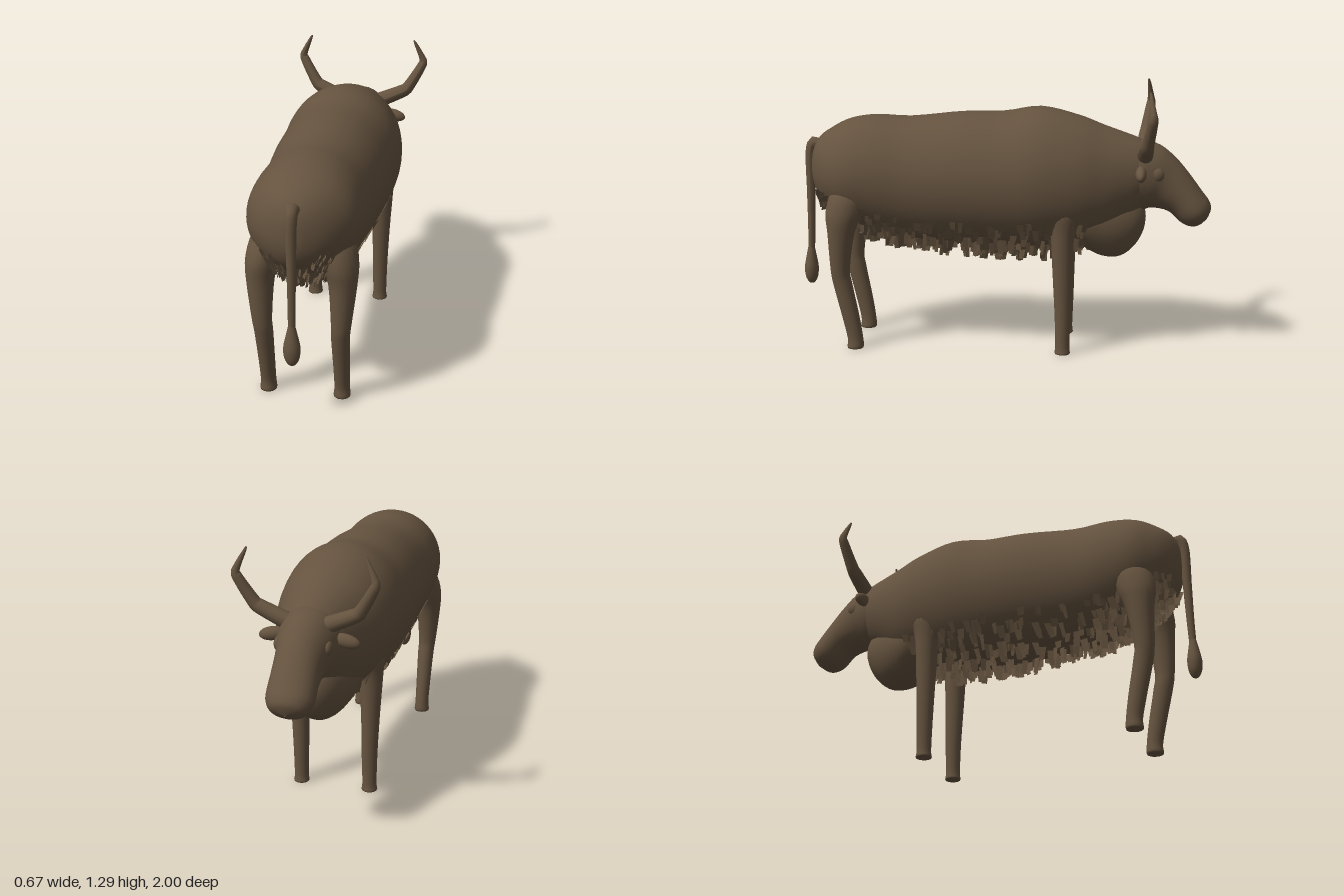
import * as THREE from 'three';

const hide = new THREE.MeshStandardMaterial({ color: 0x65533f, side: THREE.DoubleSide });
hide.name = 'brown hide';

// Cross-sections: [x, y, z, half width, half height, tilt in degrees]
const bodySections = [
  [0, 0.90, -0.74, 0.005, 0.005, 0], [0, 0.89, -0.72, 0.10, 0.10, 0],
  [0, 0.86, -0.66, 0.145, 0.17, 0], [0, 0.845, -0.58, 0.18, 0.215, 0],
  [0, 0.83, -0.48, 0.22, 0.265, 0], [0, 0.835, -0.36, 0.262, 0.305, 0],
  [0, 0.84, -0.18, 0.29, 0.34, 0], [0, 0.828, 0, 0.287, 0.327, 0],
  [0, 0.83, 0.2, 0.28, 0.32, 0], [0, 0.825, 0.45, 0.262, 0.30, 0],
  [0, 0.845, 0.62, 0.262, 0.285, 0], [0, 0.86, 0.75, 0.247, 0.25, 0],
  [0, 0.865, 0.84, 0.192, 0.20, 0], [0, 0.87, 0.90, 0.125, 0.15, 0],
  [0, 0.87, 0.935, 0.05, 0.08, 0], [0, 0.87, 0.94, 0.003, 0.003, 0],
];
const headSections = [
  [0, 0.645, -0.983, 0.003, 0.003, -37], [0, 0.655, -0.968, 0.07, 0.055, -37],
  [0, 0.675, -0.94, 0.10, 0.08, -37], [0, 0.705, -0.905, 0.11, 0.09, -37],
  [0, 0.765, -0.85, 0.108, 0.10, -35], [0, 0.82, -0.77, 0.115, 0.135, -25],
  [0, 0.85, -0.70, 0.138, 0.165, -10], [0, 0.87, -0.62, 0.14, 0.15, 0],
  [0, 0.88, -0.55, 0.01, 0.01, 0],
];
const dewlapSections = [
  [0, 0.65, -0.69, 0.003, 0.003, 0], [0, 0.645, -0.68, 0.055, 0.06, 0],
  [0, 0.635, -0.64, 0.10, 0.125, 0], [0, 0.625, -0.57, 0.135, 0.17, 0],
  [0, 0.63, -0.48, 0.16, 0.175, 0], [0, 0.655, -0.39, 0.175, 0.155, 0],
  [0, 0.68, -0.29, 0.16, 0.11, 0], [0, 0.70, -0.22, 0.01, 0.01, 0],
];
const hindLegSections = [
  [0.11, 0.88, 0.70, 0.03, 0.05, 90], [0.142, 0.78, 0.725, 0.085, 0.095, 90],
  [0.173, 0.68, 0.753, 0.079, 0.092, 90], [0.185, 0.58, 0.77, 0.063, 0.066, 90],
  [0.18, 0.40, 0.78, 0.046, 0.047, 90], [0.175, 0.32, 0.77, 0.042, 0.046, 90],
  [0.173, 0.16, 0.736, 0.037, 0.042, 90], [0.172, 0.05, 0.716, 0.035, 0.038, 90],
  [0.172, 0, 0.716, 0.037, 0.038, 90], [0.172, 0, 0.716, 0.001, 0.001, 90],
];
const foreLegSections = [
  [0.14, 0.88, -0.30, 0.05, 0.06, 90], [0.165, 0.72, -0.298, 0.075, 0.085, 90],
  [0.176, 0.60, -0.296, 0.058, 0.058, 90], [0.175, 0.40, -0.297, 0.045, 0.047, 90],
  [0.172, 0.20, -0.30, 0.038, 0.039, 90], [0.172, 0.04, -0.30, 0.034, 0.034, 90],
  [0.172, 0, -0.30, 0.036, 0.036, 90], [0.172, 0, -0.30, 0.001, 0.001, 90],
];

// Smoothly interpolated section at t in 0..1
function sectionAt(sections, t) {
  const n = sections.length - 1;
  const i = Math.min(Math.floor(t * n), n - 1), f = t * n - i;
  const p = k => sections[Math.max(0, Math.min(n, k))];
  return p(i).map((b, k) => {
    const a = p(i - 1)[k], c = p(i + 1)[k], d = p(i + 2)[k];
    return b + 0.5 * f * (c - a + f * (2 * a - 5 * b + 4 * c - d + f * (3 * (b - c) + d - a)));
  });
}

function ringPoint([x, y, z, rx, ru, tilt], angle) {
  const t = THREE.MathUtils.degToRad(tilt), u = Math.max(ru, 0.001) * Math.sin(angle);
  return new THREE.Vector3(
    x + Math.max(rx, 0.001) * Math.cos(angle),
    Math.max(0, y + u * Math.cos(t)),
    z + u * Math.sin(t));
}

function loft(sections, sides = 32, steps = 4) {
  const rows = (sections.length - 1) * steps, pos = [], index = [];
  for (let i = 0; i <= rows; i++) {
    const s = sectionAt(sections, i / rows);
    for (let j = 0; j < sides; j++) pos.push(...ringPoint(s, j / sides * Math.PI * 2).toArray());
  }
  for (let i = 0; i < rows; i++) for (let j = 0; j < sides; j++) {
    const k = (j + 1) % sides;
    const a = i * sides + j, b = i * sides + k, c = a + sides, d = b + sides;
    index.push(a, b, c, b, d, c);
  }
  return indexed(pos, index);
}

function indexed(pos, index) {
  const g = new THREE.BufferGeometry();
  g.setAttribute('position', new THREE.Float32BufferAttribute(pos, 3));
  g.setIndex(index);
  g.computeVertexNormals();
  return g;
}

// Tube whose radius follows a list of values spaced evenly along its points
function taperedTube(points, radii, sides = 14, tension = 0.5) {
  const curve = new THREE.CatmullRomCurve3(points.map(p => new THREE.Vector3(...p)), false, 'catmullrom', tension);
  const rows = 40, g = new THREE.TubeGeometry(curve, rows, 1, sides);
  const p = g.attributes.position, v = new THREE.Vector3();
  for (let i = 0; i <= rows; i++) {
    const c = curve.getPointAt(i / rows), f = curve.getUtoTmapping(i / rows) * (radii.length - 1);
    const k = Math.min(Math.floor(f), radii.length - 2);
    const r = THREE.MathUtils.lerp(radii[k], radii[k + 1], f - k);
    for (let j = 0; j <= sides; j++) {
      const n = i * (sides + 1) + j;
      v.fromBufferAttribute(p, n).sub(c).multiplyScalar(r).add(c);
      p.setXYZ(n, v.x, v.y, v.z);
    }
  }
  g.computeVertexNormals();
  return g;
}

// Flat locks lying along and hanging from the lower half of the trunk
function shagGeometry() {
  let seed = 7;
  const rand = () => (seed = (seed * 16807) % 2147483647) / 2147483647;
  const pos = [], index = [];
  for (let i = 0; i < 600; i++) {
    const t = 0.31 + 0.55 * rand(), a = -Math.PI * (0.17 + 0.66 * rand());
    const section = sectionAt(bodySections, t), root = ringPoint(section, a);
    const under = -Math.sin(a), cos = Math.cos(a);
    root.add(new THREE.Vector3(cos, -under, 0).multiplyScalar(0.003));
    const fall = new THREE.Vector3(-0.6 * cos, -1, 0.4 * (rand() - 0.4))
      .multiplyScalar((0.03 + 0.045 * under * rand()) * section[4] / 0.3);
    const w = 0.011 + 0.01 * rand(), twist = 1.4 * (rand() - 0.5), n = pos.length / 3;
    for (const [down, side] of [[0, -1], [0, 1], [1, -0.7], [1, 0.7]]) {
      const q = root.clone().addScaledVector(fall, down);
      pos.push(q.x + side * w * Math.sin(twist) * under, q.y, q.z + side * w * Math.cos(twist));
    }
    if (cos > 0) index.push(n, n + 2, n + 1, n + 1, n + 2, n + 3);
    else index.push(n, n + 1, n + 2, n + 1, n + 3, n + 2);
  }
  return indexed(pos, index);
}

export function createModel() {
  const model = new THREE.Group();
  model.name = 'ox';
  const add = (name, geometry) => {
    const m = new THREE.Mesh(geometry, hide);
    m.name = name;
    model.add(m);
    return m;
  };
  const ball = (name, [x, y, z], [rx, ry, rz]) => {
    const m = add(name, new THREE.SphereGeometry(1, 28, 20));
    m.position.set(x, y, z);
    m.scale.set(rx, ry, rz);
    return m;
  };

  // Trunk, head and throat
  add('body', loft(bodySections, 48));
  add('head', loft(headSections));
  add('dewlap', loft(dewlapSections));
  add('bellyHair', shagGeometry());

  // Tail with its tuft
  add('tail', taperedTube(
    [[0, 0.93, 0.88], [0, 0.99, 0.922], [0, 0.94, 0.95], [0, 0.75, 0.955], [0, 0.58, 0.958], [0, 0.42, 0.963]],
    [0.03, 0.032, 0.026, 0.021, 0.018, 0.016]));
  add('tailTuft', loft([
    [0, 0.47, 0.963, 0.014, 0.014, 90], [0, 0.42, 0.964, 0.026, 0.024, 90],
    [0, 0.36, 0.965, 0.038, 0.034, 90], [0, 0.31, 0.965, 0.033, 0.03, 90],
    [0, 0.28, 0.965, 0.016, 0.015, 90], [0, 0.275, 0.965, 0.001, 0.001, 90]], 20));

  // Paired parts
  for (const [side, s] of [['left', 1], ['right', -1]]) {
    const mirrored = sections => loft(sections.map(([x, ...rest]) => [x * s, ...rest]), 20);
    add(side + 'HindLeg', mirrored(hindLegSections));
    add(side + 'ForeLeg', mirrored(foreLegSections));
    add(side + 'Horn', taperedTube(
      [[0.06 * s, 0.945, -0.675], [0.233 * s, 1.025, -0.685], [0.318 * s, 1.17, -0.71], [0.268 * s, 1.285, -0.695]],
      [0.042, 0.032, 0.021, 0.004], 12, 0.15));
    ball(side + 'Ear', [0.17 * s, 0.888, -0.66], [0.065, 0.032, 0.026]).rotation.z = -0.2 * s;
    ball(side + 'Eye', [0.112 * s, 0.875, -0.735], [0.022, 0.035, 0.035]);
  }
  return model;
}
